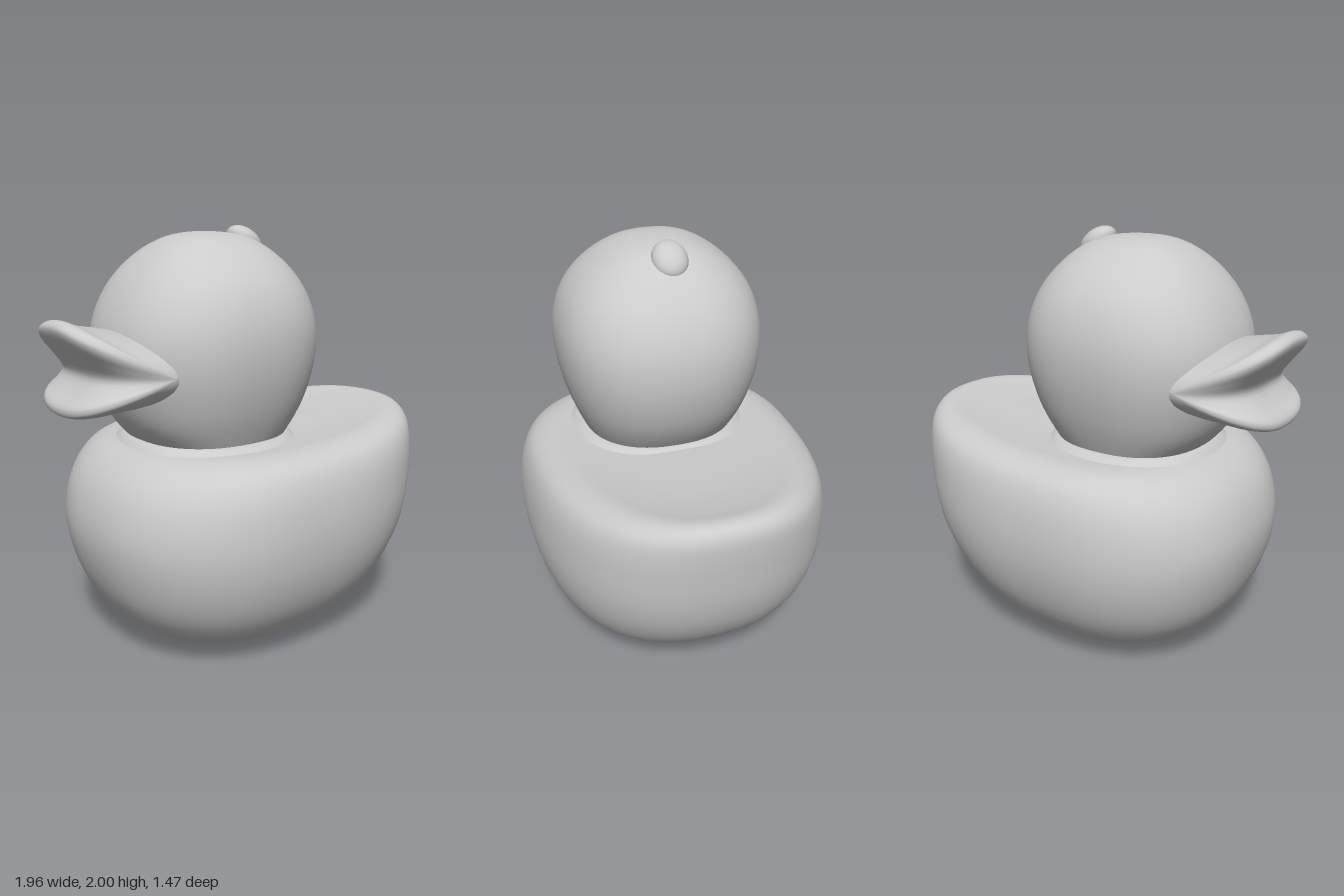
import * as THREE from 'three';

const material = new THREE.MeshStandardMaterial({ color: 0xcccccc });

// Skin over a list of closed sections, each with the same number of points
function skin(name, sections) {
  const n = sections[0].length;
  const position = sections.flat().flatMap((p) => [p.x, p.y, p.z]);
  const index = [];
  for (let r = 0; r < sections.length - 1; r++) {
    for (let i = 0; i < n; i++) {
      const a = r * n + i, b = r * n + (i + 1) % n;
      index.push(a, a + n, b, b, a + n, b + n);
    }
  }
  const geometry = new THREE.BufferGeometry();
  geometry.setAttribute('position', new THREE.Float32BufferAttribute(position, 3));
  geometry.setIndex(index);
  geometry.computeVertexNormals();
  const mesh = new THREE.Mesh(geometry, material);
  mesh.name = name;
  return mesh;
}

// Rounded-oval rings, given as [yFront, yBack, xFront, xBack, halfWidth];
// xMid is where the oval is widest, and rings may curl up towards the back
function ovalBody(name, xMid, power, rows, steps = 3, segments = 56) {
  const columns = [];
  for (let i = 0; i < segments; i++) {
    const a = (i / segments) * Math.PI * 2;
    const c = Math.sign(Math.cos(a)) * Math.abs(Math.cos(a)) ** (2 / power);
    const s = Math.sign(Math.sin(a)) * Math.abs(Math.sin(a)) ** (2 / power);
    columns.push(new THREE.CatmullRomCurve3(rows.map(([yF, yB, xF, xB, w]) => {
      const x = xMid + c * (c > 0 ? xB - xMid : xMid - xF);
      const t = Math.max(0, (x - xF) / (xB - xF));
      return new THREE.Vector3(x, yF + (yB - yF) * t ** 2.5, s * w);
    })));
  }
  const count = (rows.length - 1) * steps;
  const sections = [];
  for (let r = 0; r <= count; r++) sections.push(columns.map((curve) => curve.getPoint(r / count)));
  return skin(name, sections);
}

// Open beak: one side profile, shrunk towards the mouth corners
function makeBeak() {
  const profile = new THREE.CatmullRomCurve3([
    [-0.5, 1.5], [-0.72, 1.555], [-0.87, 1.585], [-0.945, 1.61], [-0.98, 1.585], [-0.97, 1.54],
    [-0.91, 1.455], [-0.86, 1.365], [-0.91, 1.29], [-0.968, 1.235], [-0.965, 1.198],
    [-0.92, 1.185], [-0.78, 1.193], [-0.68, 1.2], [-0.5, 1.25],
  ].map(([x, y]) => new THREE.Vector3(x, y, 0)), true).getPoints(60).slice(0, 60);
  const halfWidth = 0.375, steps = 32, sections = [];
  for (let i = 0; i <= steps; i++) {
    const u = Math.cos((i / steps) * Math.PI);
    const kx = Math.sqrt(Math.max(0, 1 - Math.abs(u) ** 3));
    const ky = Math.sqrt(Math.max(0, 1 - u * u));
    sections.push(profile.map((p) => new THREE.Vector3(
      -0.59 + (p.x + 0.59) * kx, 1.37 + (p.y - 1.37) * ky, u * halfWidth)));
  }
  return skin('beak', sections);
}

export function createModel() {
  const model = new THREE.Group();
  model.name = 'toyDuck';

  // Body with raised tail and slightly dished back
  model.add(ovalBody('body', -0.08, 2.35, [
    [0, 0, -0.081, -0.079, 0.001],
    [0.005, 0.005, -0.2, 0.08, 0.15],
    [0.02, 0.02, -0.34, 0.2, 0.28],
    [0.05, 0.05, -0.47, 0.33, 0.39],
    [0.12, 0.12, -0.63, 0.52, 0.52],
    [0.27, 0.27, -0.76, 0.74, 0.64],
    [0.45, 0.45, -0.83, 0.87, 0.71],
    [0.62, 0.63, -0.853, 0.935, 0.735],
    [0.77, 0.81, -0.825, 0.963, 0.728],
    [0.87, 0.95, -0.775, 0.976, 0.705],
    [0.945, 1.03, -0.7, 0.974, 0.665],
    [0.985, 1.075, -0.62, 0.95, 0.6],
    [1.0, 1.088, -0.53, 0.9, 0.53],
    [1.0, 1.07, -0.45, 0.82, 0.45],
    [1.0, 1.035, -0.3, 0.6, 0.3],
    [1.0, 1.0, -0.081, -0.079, 0.001],
  ]));

  // Low collar between body and head
  model.add(ovalBody('neck', -0.19, 2.3, [
    [0.96, 0.96, -0.63, 0.28, 0.48],
    [1.005, 1.005, -0.59, 0.22, 0.43],
    [1.025, 1.025, -0.56, 0.19, 0.39],
    [1.03, 1.03, -0.5, 0.13, 0.33],
  ]));

  // Head
  model.add(ovalBody('head', -0.2, 2.35, [
    [1.0, 1.0, -0.54, 0.165, 0.37],
    [1.1, 1.1, -0.625, 0.235, 0.415],
    [1.2, 1.2, -0.675, 0.285, 0.452],
    [1.34, 1.34, -0.715, 0.325, 0.487],
    [1.48, 1.48, -0.723, 0.336, 0.5],
    [1.6, 1.6, -0.695, 0.318, 0.488],
    [1.72, 1.72, -0.635, 0.268, 0.445],
    [1.82, 1.82, -0.555, 0.197, 0.37],
    [1.9, 1.9, -0.46, 0.11, 0.27],
    [1.95, 1.95, -0.36, 0.02, 0.17],
    [1.97, 1.97, -0.27, -0.09, 0.08],
    [1.975, 1.975, -0.201, -0.199, 0.001],
  ]));

  model.add(makeBeak());

  // Small tuft on top of the head
  const tuft = new THREE.Mesh(new THREE.SphereGeometry(1, 24, 16), material);
  tuft.name = 'tuft';
  tuft.scale.set(0.1, 0.06, 0.085);
  tuft.rotation.z = -0.61;
  tuft.position.set(0.05, 1.925, 0);
  model.add(tuft);

  return model;
}
